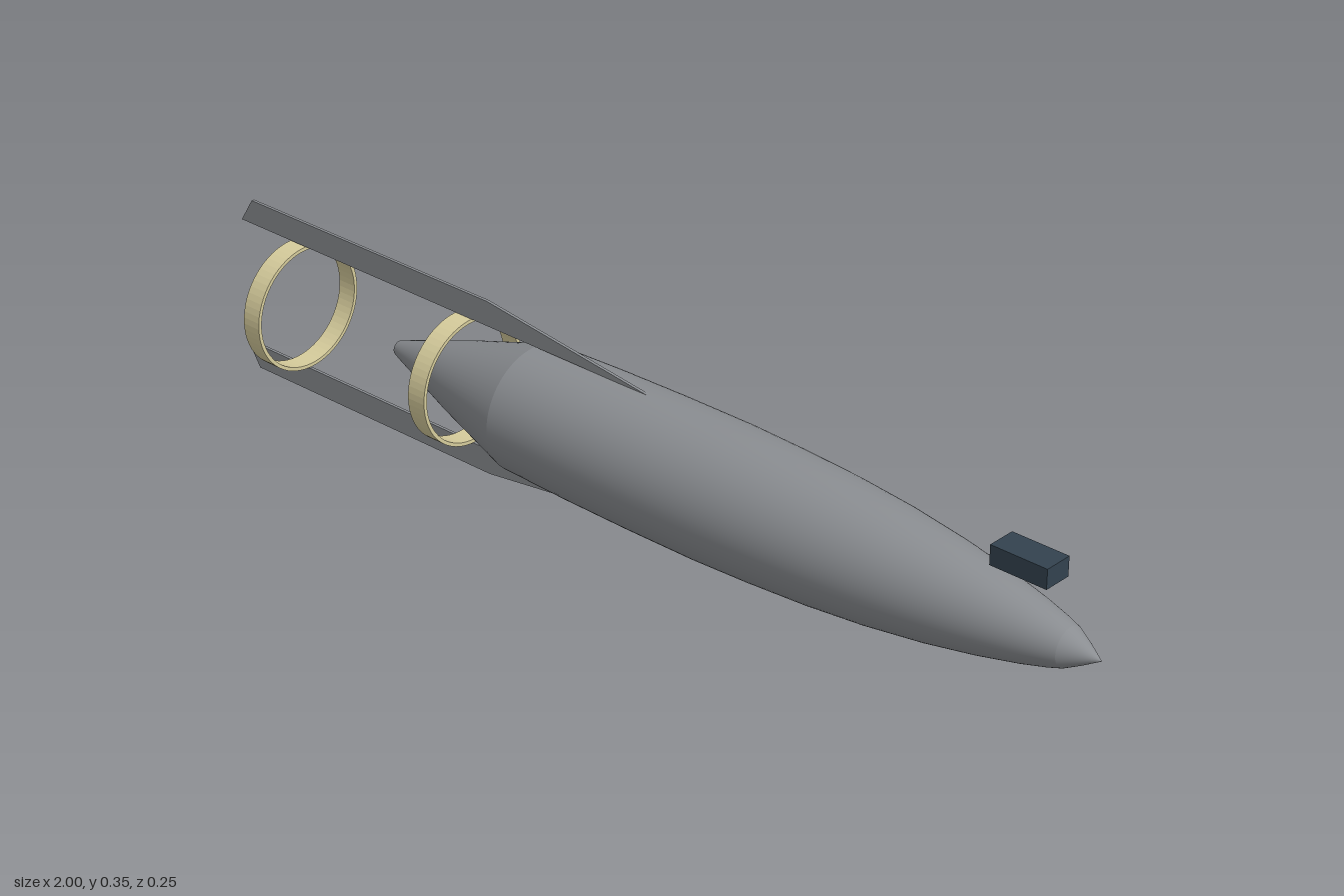
import * as THREE from 'three';

const AXIS_Y = 0.175;

export function createModel() {
  const model = new THREE.Group();
  const hullGrey = new THREE.MeshStandardMaterial({ color: 0x8a8d91 });
  hullGrey.name = 'hull grey';
  const ringTan = new THREE.MeshStandardMaterial({ color: 0xd6cc9c });
  ringTan.name = 'ring tan';
  const darkSlate = new THREE.MeshStandardMaterial({ color: 0x33424f });
  darkSlate.name = 'dark slate';

  const add = (name, geometry, material, x = 0, y = AXIS_Y) => {
    const mesh = new THREE.Mesh(geometry, material);
    mesh.name = name;
    mesh.position.set(x, y, 0);
    model.add(mesh);
    return mesh;
  };

  // Turned shape along x from [x, radius] pairs
  const turned = (profile) =>
    new THREE.LatheGeometry(profile.map(([x, r]) => new THREE.Vector2(r, x)), 64).rotateZ(-Math.PI / 2);

  // Body: tapered tail, long hull and pointed nose
  add('tail', turned([[-0.59, 0.014], [-0.57, 0.021], [-0.42, 0.07], [-0.25, 0.12]]), hullGrey);
  add('tailCap', turned([[-0.59, 0], [-0.59, 0.014]]), hullGrey);
  add('hull', turned([
    [-0.25, 0.12], [-0.1, 0.1245], [0.05, 0.1265], [0.2, 0.1265], [0.32, 0.123], [0.44, 0.117],
    [0.56, 0.107], [0.68, 0.092], [0.78, 0.075], [0.86, 0.058], [0.91, 0.045], [0.935, 0.037],
  ]), hullGrey);
  add('nose', turned([[0.935, 0.037], [0.965, 0.021], [1, 0]]), hullGrey);

  // Flat rails above and below, swept down to the hull
  for (const side of [1, -1]) {
    const outline = [[-1, 0.127], [0.03, 0.125], [-0.36, 0.175], [-0.97, 0.175]];
    const shape = new THREE.Shape(outline.map(([x, y]) => new THREE.Vector2(x, y * side)));
    const rail = new THREE.ExtrudeGeometry(shape, { depth: 0.006, bevelEnabled: false }).translate(0, 0, -0.003);
    add(side > 0 ? 'upperRail' : 'lowerRail', rail, hullGrey);
  }

  // Hoops tying the rails together, the foremost set in the hull
  for (const [name, x] of [['rearRing', -0.85], ['middleRing', -0.42], ['frontRing', 0.01]]) {
    const shape = new THREE.Shape().absarc(0, 0, 0.125, 0, Math.PI * 2);
    shape.holes.push(new THREE.Path().absarc(0, 0, 0.118, 0, Math.PI * 2, true));
    const ring = new THREE.ExtrudeGeometry(shape, { depth: 0.04, bevelEnabled: false, curveSegments: 32 });
    add(name, ring.translate(0, 0, -0.02).rotateY(Math.PI / 2), ringTan, x);
  }

  // Small block above the nose
  add('noseBlock', new THREE.BoxGeometry(0.115, 0.038, 0.057), darkSlate, 0.847, 0.3);

  return model;
}
